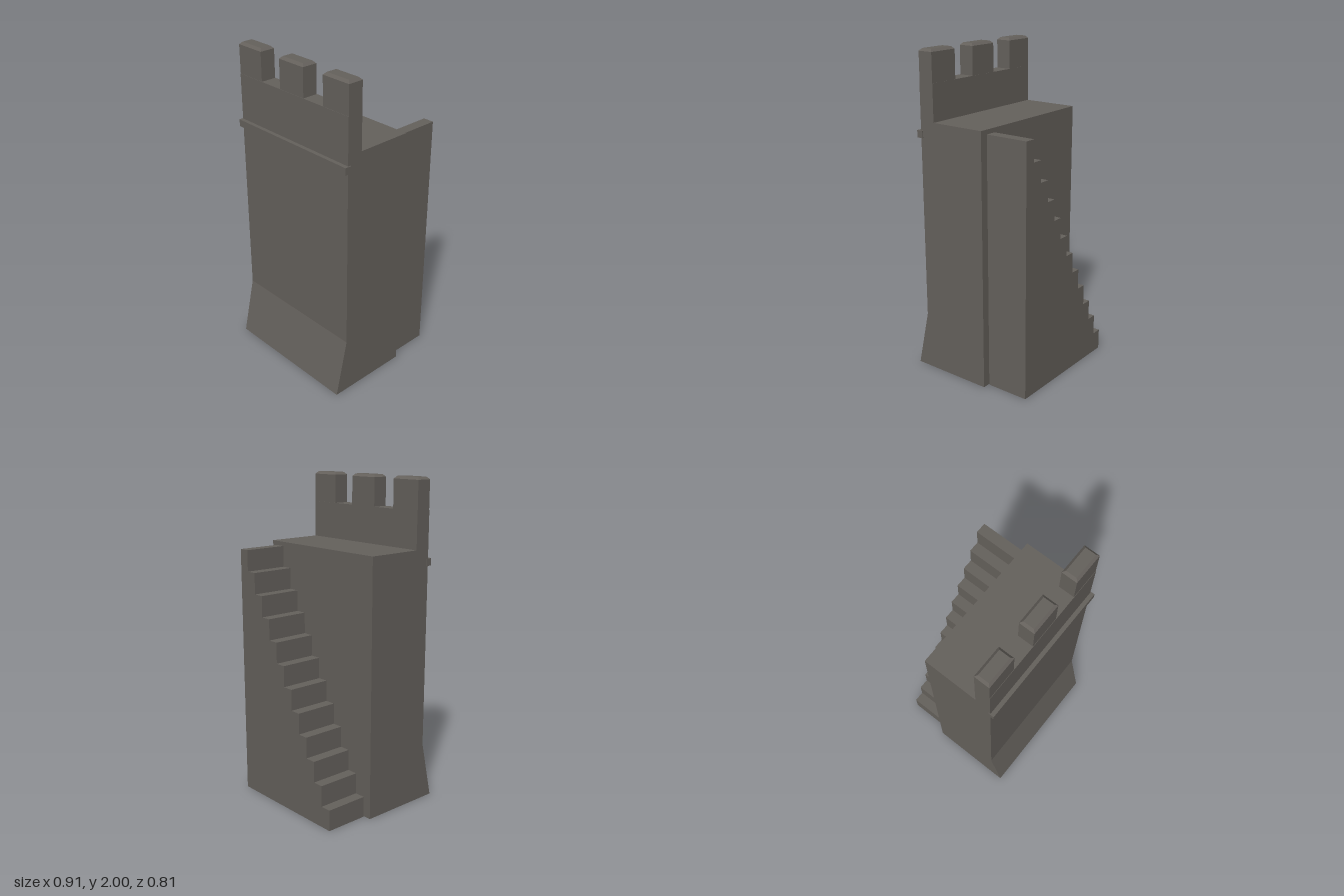
import * as THREE from 'three';

const stone = new THREE.MeshStandardMaterial({ color: 0x65615c });
stone.name = 'greyStone';

// Extrudes a list of [x, y] corners
function prism(points, depth) {
  const shape = new THREE.Shape(points.map(([x, y]) => new THREE.Vector2(x, y)));
  return new THREE.ExtrudeGeometry(shape, { depth, bevelEnabled: false });
}

// Block whose upper edges are chamfered by c
function chamferedBlock(w, h, d, c) {
  const geo = new THREE.BoxGeometry(w, h, d, 1, 2, 1).toNonIndexed();
  const p = geo.attributes.position;
  for (let i = 0; i < p.count; i++) {
    const y = p.getY(i);
    if (Math.abs(y) < 1e-4) p.setY(i, h / 2 - c);
    else if (y > 0) {
      p.setX(i, p.getX(i) - Math.sign(p.getX(i)) * c);
      p.setZ(i, p.getZ(i) - Math.sign(p.getZ(i)) * c);
    }
  }
  geo.computeVertexNormals();
  return geo;
}

export function createModel() {
  const model = new THREE.Group();
  model.name = 'wallSegment';

  function add(name, geo, x = 0, y = 0, z = 0) {
    const mesh = new THREE.Mesh(geo, stone);
    mesh.name = name;
    mesh.position.set(x, y, z);
    model.add(mesh);
  }

  // Wall with sloping foot, walkway and parapet: side profile as [z, y]
  const wall = prism([
    [-0.126, 0], [0.405, 0], [0.325, 0.36], [0.325, 1.81],
    [0.225, 1.81], [0.225, 1.585], [-0.126, 1.585],
  ], 0.904);
  wall.rotateY(-Math.PI / 2);
  add('wall', wall, 0.45);

  // Three merlons on the parapet
  for (const x of [-0.356, 0, 0.352]) {
    add('merlon', chamferedBlock(0.196, 0.2, 0.097, 0.015), x, 1.9, 0.2745);
  }

  // String course across the front
  add('stringCourse', new THREE.BoxGeometry(0.914, 0.044, 0.04), 0, 1.506, 0.33);

  // Solid staircase rising towards +x behind the wall
  const steps = 12, run = 0.813 / steps, rise = 1.56 / steps, left = -0.406;
  const outline = [[left, 0], [left + steps * run, 0]];
  for (let i = steps; i > 0; i--) {
    outline.push([left + i * run, i * rise], [left + (i - 1) * run, i * rise]);
  }
  add('staircase', prism(outline, 0.273), 0, 0, -0.405);

  return model;
}
